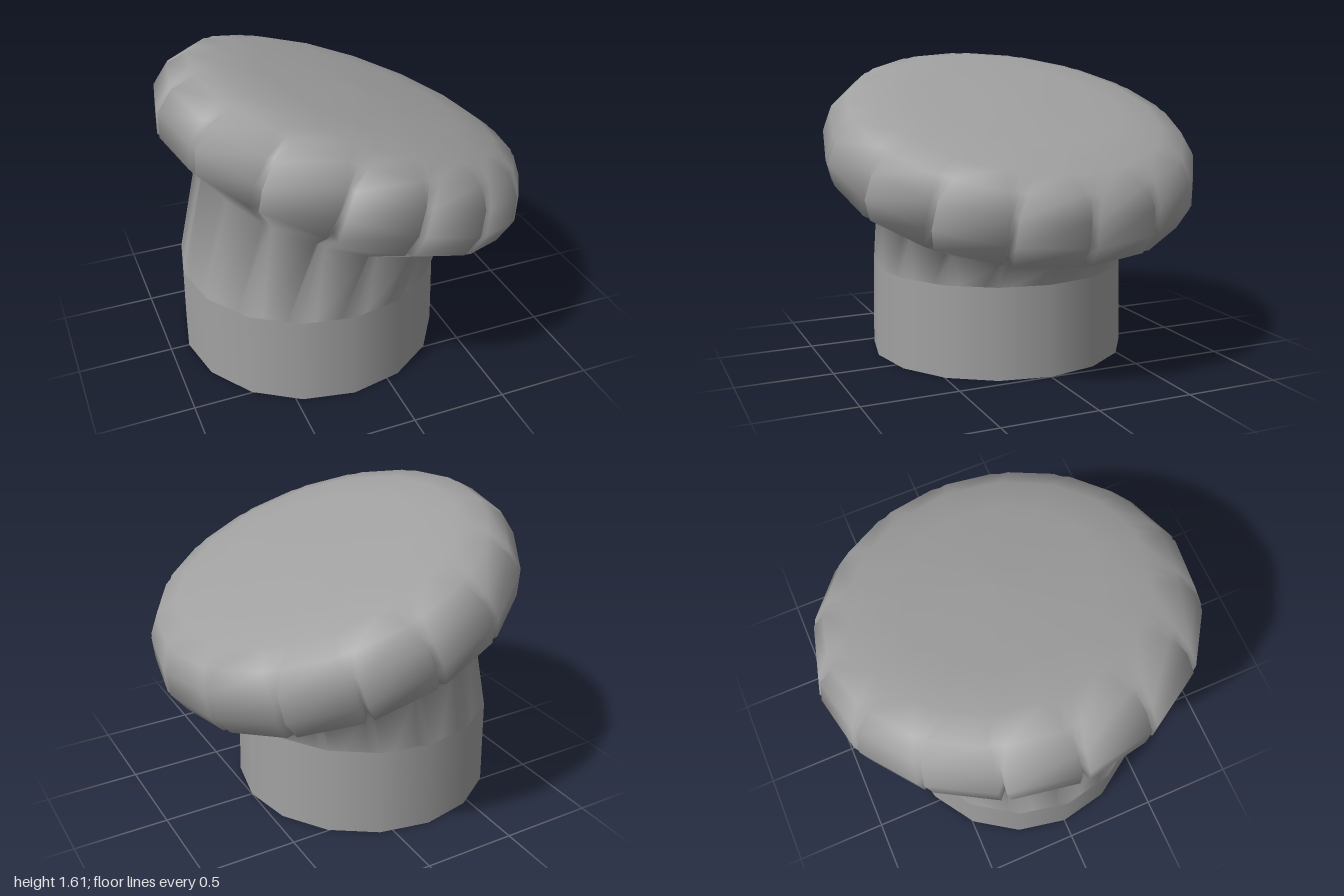
import * as THREE from 'three';

const SECTORS = 16;
const material = new THREE.MeshStandardMaterial({ color: 0xa0a0a0, side: THREE.DoubleSide });

// Each ring: left point, right point (x, y), half depth in z, pleat depth, pleat half angle.
function ringSurface(name, rings) {
  const points = [], normals = [], index = [];
  const n = SECTORS * 3;
  for (const [lx, ly, rx, ry, rz, depth, gap] of rings) {
    for (let s = 0; s < SECTORS; s++) {
      for (let k = -1; k <= 1; k++) {
        // a pleat is a narrow V: corner, sunken fold, corner
        const a = (s / SECTORS) * Math.PI * 2 + k * gap;
        const r = k === 0 ? 1 - depth : 1;
        points.push(new THREE.Vector3(
          (lx + rx) / 2 + Math.cos(a) * r * (rx - lx) / 2,
          (ly + ry) / 2 + Math.cos(a) * r * (ry - ly) / 2,
          Math.sin(a) * r * rz
        ));
        normals.push(new THREE.Vector3());
      }
    }
  }
  for (let i = 0; i < rings.length - 1; i++) {
    for (let j = 0; j < n; j++) {
      const a = i * n + j, b = i * n + (j + 1) % n, c = a + n, d = b + n;
      index.push(a, c, b, b, c, d);
      // every panel and pleat wall counts equally, so panels look puffed
      const facing = points[c].clone().sub(points[b])
        .cross(points[d].clone().sub(points[a])).normalize();
      for (const v of [a, b, c, d]) normals[v].add(facing);
    }
  }
  const geometry = new THREE.BufferGeometry().setFromPoints(points);
  geometry.setAttribute('normal', new THREE.Float32BufferAttribute(
    normals.flatMap((v) => v.normalize().toArray()), 3));
  geometry.setIndex(index);
  const mesh = new THREE.Mesh(geometry, material);
  mesh.name = name;
  return mesh;
}

export function createModel() {
  const group = new THREE.Group();
  group.name = 'pleatedHat';

  // Straight open head band
  const band = new THREE.Mesh(
    new THREE.CylinderGeometry(0.69, 0.7, 0.48, SECTORS, 1, true), material);
  band.name = 'headBand';
  band.position.set(-0.2, 0.24, 0);
  group.add(band);

  // Pleated neck, tilted puff and closed crown; pleats flatten out at both ends
  group.add(ringSurface('pleatedCrown', [
    [-0.88, 0.48, 0.48, 0.48, 0.68, -0.015, 0.1],
    [-0.76, 1.06, 0.54, 0.58, 0.69, 0.09, 0.035],
    [-0.95, 1.31, 0.85, 0.65, 0.96, 0.08, 0.025],
    [-0.945, 1.44, 0.93, 0.75, 1.0, 0.07, 0.02],
    [-0.87, 1.55, 0.945, 0.88, 0.97, 0.05, 0.02],
    [-0.76, 1.61, 0.91, 1.0, 0.89, 0.01, 0.05],
    [-0.6, 1.6, 0.8, 1.085, 0.75, -0.015, 0.1],
    [-0.4, 1.55, 0.6, 1.19, 0.53, -0.015, 0.1],
    [0.1, 1.38, 0.1, 1.38, 0, 0, 0.1],
  ]));

  return group;
}
